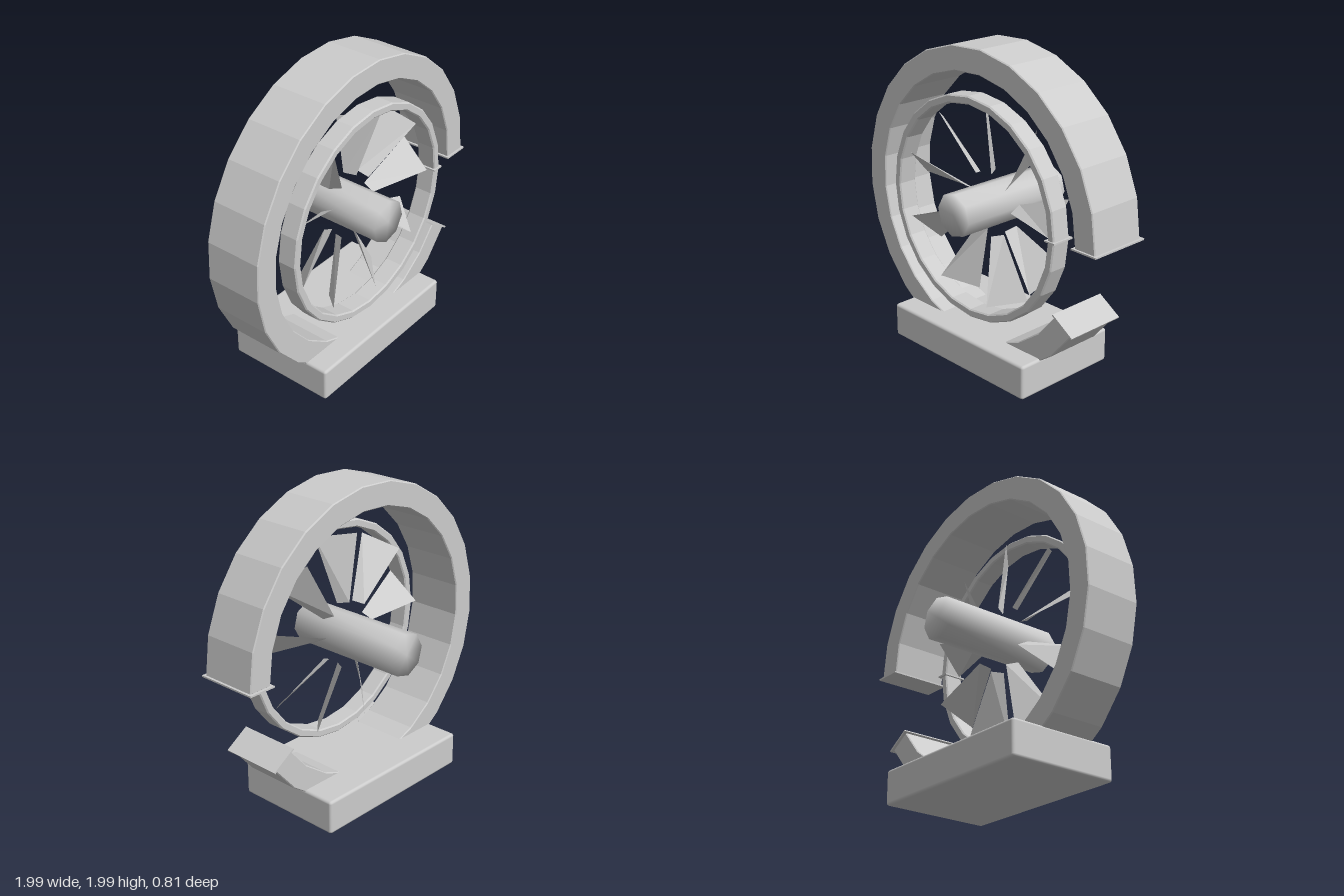
import * as THREE from 'three';
import { mergeVertices } from 'three/addons/utils/BufferGeometryUtils.js';
import { RoundedBoxGeometry } from 'three/addons/geometries/RoundedBoxGeometry.js';

const CX = -0.01, CY = 1.0; // shared axis of rings, hub and blades

// Points along a faceted arc
function arcPoints(radius, start, end, segments) {
  const pts = [];
  for (let i = 0; i <= segments; i++) {
    const a = start + (end - start) * i / segments;
    pts.push(new THREE.Vector2(radius * Math.cos(a), radius * Math.sin(a)));
  }
  return pts;
}

// Extrude a shape between two z values with a fine bevel kept inside the outline
function slab(shape, z0, z1, bevel) {
  const geo = new THREE.ExtrudeGeometry(shape, {
    depth: z1 - z0 - 2 * bevel, bevelEnabled: true, bevelThickness: bevel,
    bevelSize: bevel, bevelOffset: -bevel, bevelSegments: 1,
  });
  return geo.translate(0, 0, z0 + bevel);
}

export function createModel() {
  const model = new THREE.Group();
  const grey = new THREE.MeshStandardMaterial({ color: 0xcccccc, side: THREE.DoubleSide });
  grey.name = 'light grey';

  const add = (name, geo, parent) => {
    const mesh = new THREE.Mesh(geo, grey);
    mesh.name = name;
    parent.add(mesh);
    return mesh;
  };

  // Base block
  add('base', new RoundedBoxGeometry(1.175, 0.22, 0.73, 2, 0.018), model)
    .position.set(-0.0125, 0.11, 0.035);

  const wheel = new THREE.Group();
  wheel.name = 'wheel';
  wheel.position.set(CX, CY, 0);
  model.add(wheel);

  // Open outer housing
  const sweep = THREE.MathUtils.degToRad(327);
  const outline = arcPoints(0.99, 0, sweep, 23)
    .concat(arcPoints(0.837, 0, sweep, 23).reverse());
  add('outerHousing', slab(new THREE.Shape(outline), -0.12, 0.255, 0.006), wheel);

  // Thin lips closing both housing ends
  for (const angle of [0, sweep]) {
    const lip = add('housingLip', new THREE.BoxGeometry(0.183, 0.01, 0.405), wheel);
    lip.position.set(0.9135 * Math.cos(angle), 0.9135 * Math.sin(angle), 0.065);
    lip.rotation.z = angle;
  }

  // Inner front ring and its seam lip
  const ringShape = new THREE.Shape(arcPoints(0.705, 0, Math.PI * 2, 24).slice(0, -1));
  ringShape.holes.push(new THREE.Path(arcPoints(0.653, 0, Math.PI * 2, 24).slice(0, -1)));
  add('innerRing', slab(ringShape, 0.153, 0.28, 0.008), wheel);
  add('ringLip', new THREE.BoxGeometry(0.078, 0.01, 0.15), wheel).position.set(0.678, 0, 0.215);

  // Hub with shared, softened normals
  let hub = new THREE.CylinderGeometry(0.138, 0.138, 0.805, 8, 1);
  hub.deleteAttribute('normal');
  hub.deleteAttribute('uv');
  hub = mergeVertices(hub, 1e-4);
  hub.computeVertexNormals();
  hub.rotateX(Math.PI / 2).rotateZ(THREE.MathUtils.degToRad(-7));
  add('hub', hub, wheel);

  // Twisted blades, tapering to the root
  const bladeGeo = new THREE.BufferGeometry();
  bladeGeo.setAttribute('position', new THREE.Float32BufferAttribute([
    0.0, 0.21, 0.06, 0.037, 0.2, 0.13,
    0.112, 0.615, 0.24, -0.075, 0.636, 0.065,
  ], 3));
  bladeGeo.setIndex([0, 1, 2, 0, 2, 3]);
  const flatBlade = bladeGeo.toNonIndexed();
  flatBlade.computeVertexNormals();
  for (let i = 0; i < 9; i++) {
    add('blade', flatBlade, wheel).rotation.z = -i * Math.PI * 2 / 9;
  }

  return model;
}
